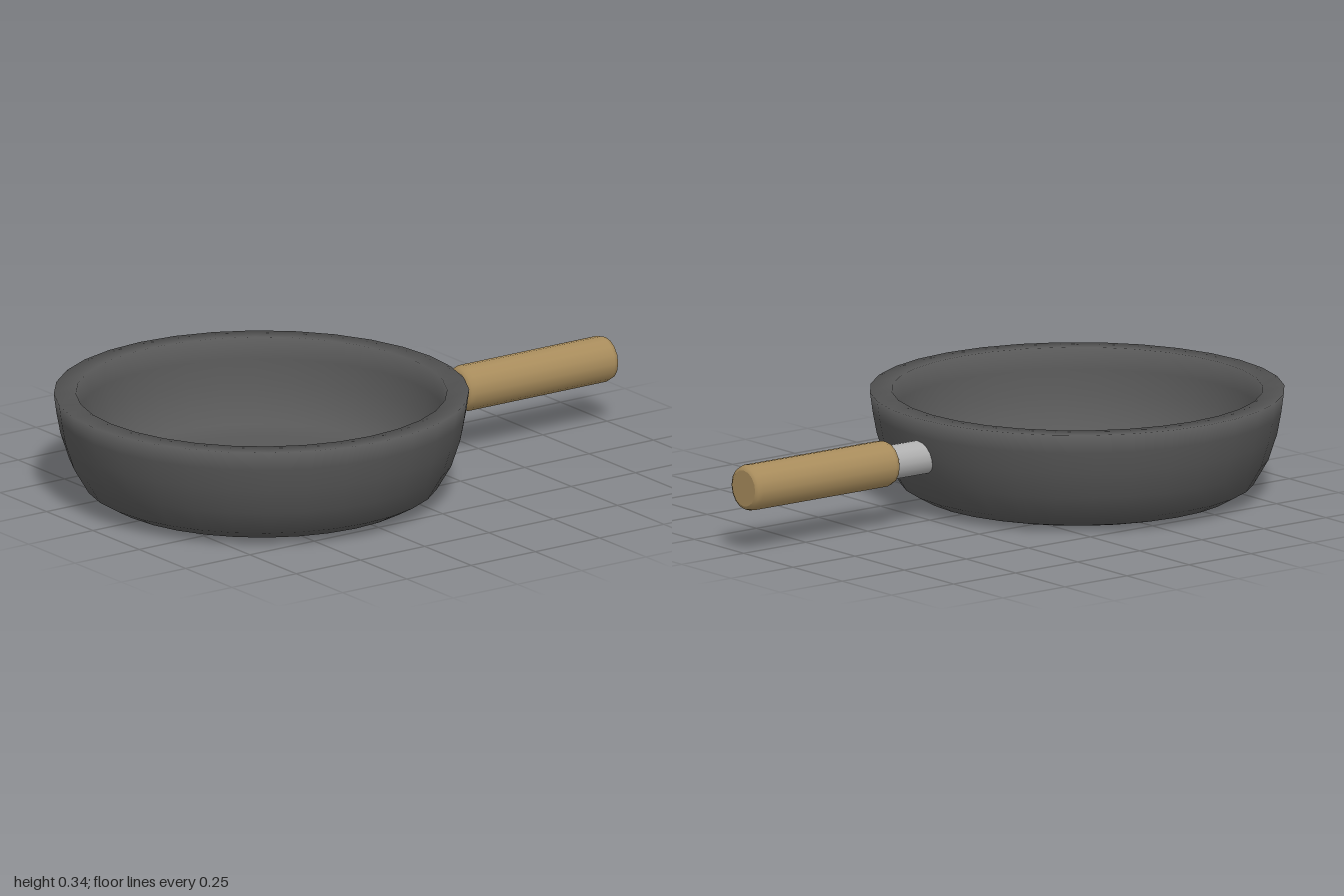
import * as THREE from 'three';

const paint = (name, color) => {
  const m = new THREE.MeshStandardMaterial({ color });
  m.name = name;
  return m;
};

// Turned part from [radius, height] pairs; a repeated pair keeps that edge sharp
function turned(name, profile, sides, material) {
  const pts = profile.map(([r, h]) => new THREE.Vector2(r, h));
  const mesh = new THREE.Mesh(new THREE.LatheGeometry(pts, sides), material);
  mesh.name = name;
  return mesh;
}

export function createModel() {
  const iron = paint('dark iron', 0x575757);
  const steel = paint('light steel', 0xb0b0b0);
  const wood = paint('wood', 0xa88c5c);

  const model = new THREE.Group();
  model.name = 'fryingPan';

  // Bowl: outer wall up, flat rim, inner wall down to the floor
  const bowl = turned('bowl', [
    [0, 0], [0.45, 0], [0.505, 0.014], [0.56, 0.045], [0.607, 0.125],
    [0.635, 0.21], [0.648, 0.28], [0.656, 0.34],
    [0.586, 0.34], [0.578, 0.27], [0.562, 0.2], [0.535, 0.13],
    [0.49, 0.082], [0.42, 0.06], [0, 0.06],
  ], 32, iron);
  bowl.position.x = -0.344;
  model.add(bowl);

  // Handle, turned about the x axis
  const handle = new THREE.Group();
  handle.name = 'handle';
  handle.position.y = 0.21;
  handle.rotation.z = -Math.PI / 2;

  const stub = turned('handleStub', [[0.055, 0.25], [0.055, 0.44]], 16, steel);
  const grip = turned('handleGrip', [
    [0, 0.42], [0.058, 0.42], [0.058, 0.42], [0.069, 0.426], [0.074, 0.442],
    [0.074, 0.978], [0.069, 0.994], [0.058, 1], [0.058, 1], [0, 1],
  ], 16, wood);
  handle.add(stub, grip);
  model.add(handle);

  return model;
}
